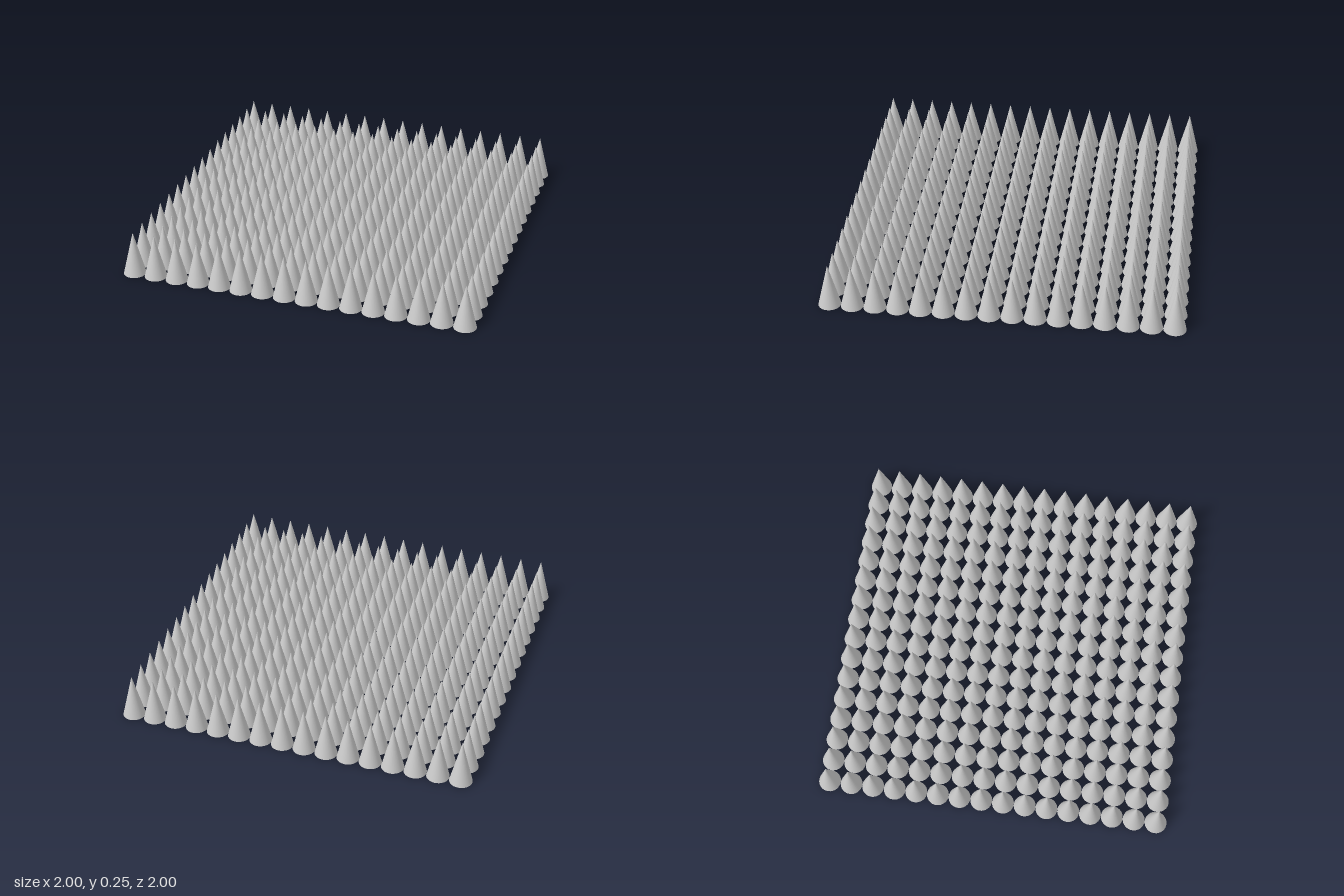
import * as THREE from 'three';

// A square field of identical cones standing base to base.
export function createModel() {
  const count = 16;
  const pitch = 2 / count;
  const height = 0.25;

  const model = new THREE.Group();
  model.name = 'spikeField';

  const material = new THREE.MeshStandardMaterial({ color: 0xcccccc });
  const spike = new THREE.ConeGeometry(pitch / 2, height, 32);
  spike.translate(0, height / 2, 0);

  // Centre of the i-th cell along either axis
  const cell = (i) => (i + 0.5) * pitch - 1;

  for (let row = 0; row < count; row++) {
    const spikeRow = new THREE.Group();
    spikeRow.name = `spikeRow${row + 1}`;
    spikeRow.position.z = cell(row);
    for (let col = 0; col < count; col++) {
      const mesh = new THREE.Mesh(spike, material);
      mesh.name = 'spike';
      mesh.position.x = cell(col);
      spikeRow.add(mesh);
    }
    model.add(spikeRow);
  }
  return model;
}
